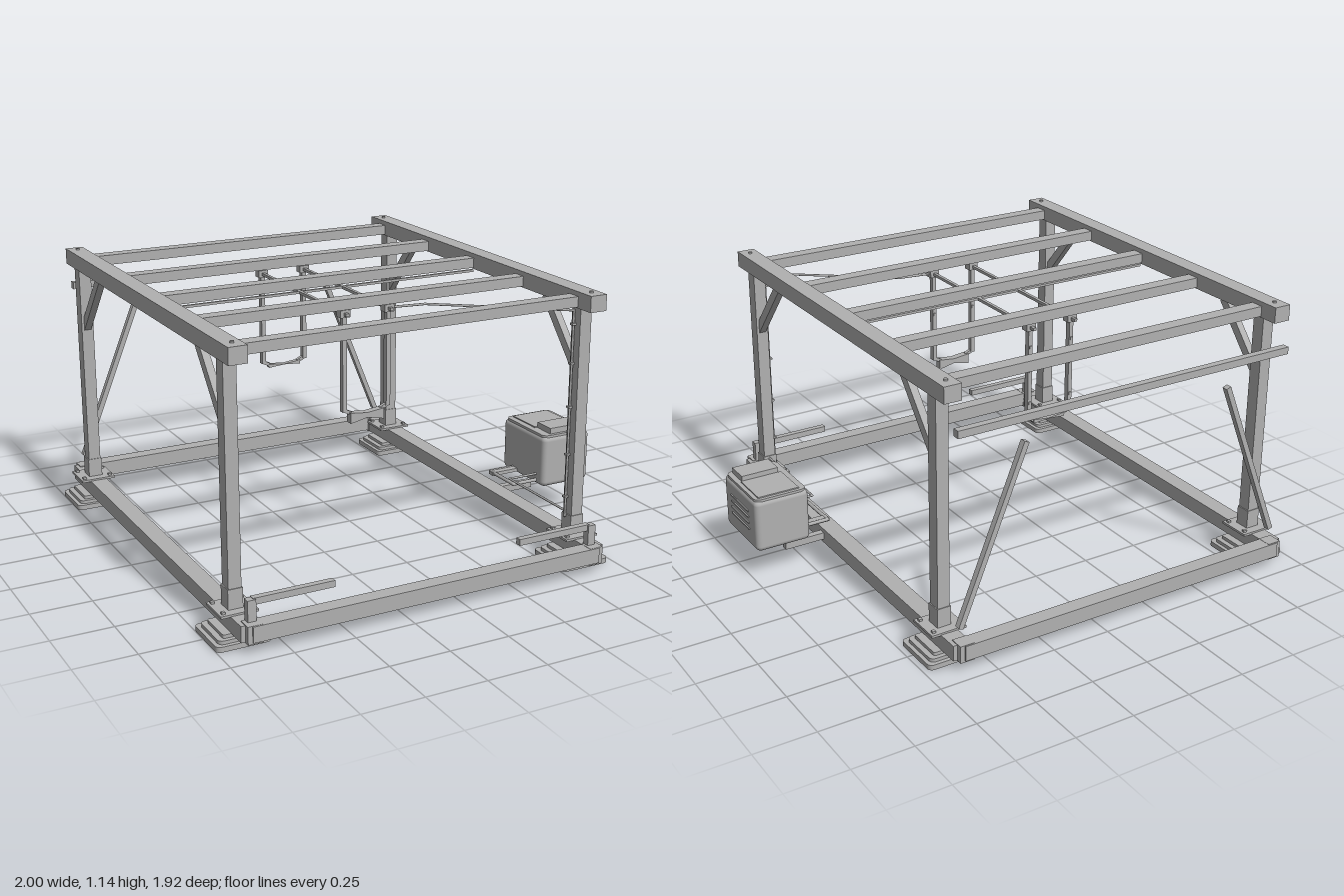
import * as THREE from 'three';
import { RoundedBoxGeometry } from 'three/addons/geometries/RoundedBoxGeometry.js';

export function createModel() {
  const root = new THREE.Group();
  root.name = 'timberFrame';
  const grey = new THREE.MeshStandardMaterial({ color: 0xb0b0b0 });
  grey.name = 'plain grey';

  const add = (name, geometry) => {
    const mesh = new THREE.Mesh(geometry, grey);
    mesh.name = name;
    root.add(mesh);
    return mesh;
  };
  // box given by its limits on each axis
  const box = (name, x0, x1, y0, y1, z0, z1) => {
    const m = add(name, new THREE.BoxGeometry(x1 - x0, y1 - y0, z1 - z0));
    m.position.set((x0 + x1) / 2, (y0 + y1) / 2, (z0 + z1) / 2);
    return m;
  };
  // box by centre and size
  const block = (name, x, y, z, w, h, d) =>
    box(name, x - w / 2, x + w / 2, y - h / 2, y + h / 2, z - d / 2, z + d / 2);
  // square bar between two points
  const bar = (name, a, b, w, d) => {
    const p = new THREE.Vector3(...a), q = new THREE.Vector3(...b);
    const m = add(name, new THREE.BoxGeometry(w, d, p.distanceTo(q)));
    m.position.copy(p).add(q).multiplyScalar(0.5);
    m.lookAt(q);
    return m;
  };
  // round wire through straight runs
  const wire = (name, points, r) => {
    const path = new THREE.CurvePath();
    for (let i = 1; i < points.length; i++) {
      path.add(new THREE.LineCurve3(new THREE.Vector3(...points[i - 1]), new THREE.Vector3(...points[i])));
    }
    for (const c of path.curves) add(name, new THREE.TubeGeometry(c, 1, r, 8, false));
    for (const p of points) add(name + 'Joint', new THREE.SphereGeometry(r, 8, 6)).position.set(...p);
  };
  // horizontal slab with rounded corners
  const slab = (name, x, y0, y1, z, w, d, r) => {
    const s = new THREE.Shape();
    const a = w / 2 - r, b = d / 2 - r;
    s.absarc(a, b, r, 0, Math.PI / 2);
    s.absarc(-a, b, r, Math.PI / 2, Math.PI);
    s.absarc(-a, -b, r, Math.PI, Math.PI * 1.5);
    s.absarc(a, -b, r, Math.PI * 1.5, Math.PI * 2);
    const g = new THREE.ExtrudeGeometry(s, { depth: y1 - y0, bevelEnabled: false, curveSegments: 4 });
    g.rotateX(-Math.PI / 2);
    add(name, g).position.set(x, y0, z);
  };

  const sides = [-0.89, 0.617];
  for (const x of sides) {
    const inward = x < 0 ? 1 : -1;
    // long rails at the bottom and top
    block('baseRail', x, 0.085, 0, 0.074, 0.065, 1.86);
    block('topRail', x, 1.102, 0, 0.074, 0.066, 1.75);

    for (const s of [-1, 1]) {
      const z = 0.77 * s;
      // stepped foot
      slab('footPlate', x, 0.005, 0.026, z, 0.218, 0.218, 0.02);
      slab('footStep', x, 0.026, 0.04, z, 0.185, 0.185, 0.02);
      slab('footPad', x, 0.04, 0.054, z, 0.14, 0.15, 0.008);
      // post with sleeve and flange
      block('post', x, 0.6, z, 0.052, 0.96, 0.057);
      block('postSleeve', x, 0.162, z, 0.06, 0.085, 0.064);
      block('postFlange', x, 0.12, z, 0.15, 0.01, 0.14);
      for (const dx of [-0.058, 0.058]) {
        block('flangeBolt', x + dx, 0.128, z + 0.05, 0.014, 0.012, 0.014);
        block('flangeBolt', x + dx, 0.128, z - 0.05, 0.014, 0.012, 0.014);
      }
      // bolt on the top rail and knee brace below it
      const bolt = add('topBolt', new THREE.CylinderGeometry(0.008, 0.008, 0.008, 8));
      bolt.position.set(x, 1.138, 0.825 * s);
      bar('kneeBrace', [x, 0.8, 0.765 * s], [x, 1.065, 0.535 * s], 0.03, 0.038);
      // corner bracket on the base
      block('cornerBracket', x + inward * 0.01, 0.085, 0.923 * s, 0.06, 0.072, 0.06);
    }

    // short horizontal bar on an upright at the front
    block('frontUpright', x + inward * 0.012, 0.155, 0.905, 0.034, 0.1, 0.03);
    block('frontGuideBar', x + inward * 0.185, 0.195, 0.9, 0.33, 0.026, 0.026);
    // leaning brace at the back
    bar('backBrace', [x + inward * 0.005, 0.17, -0.903], [x + inward * 0.285, 0.865, -0.903], 0.026, 0.022);
  }

  // end beams of the base and the back tie bar
  for (const s of [-1, 1]) block('baseEndBeam', -0.137, 0.088, 0.927 * s, 1.51, 0.064, 0.064);
  block('backTieBar', -0.137, 0.962, -0.903, 1.52, 0.03, 0.03);

  // roof beams
  for (const z of [-0.767, -0.366, 0.011, 0.388, 0.767]) {
    block('roofBeam', -0.137, 1.096, z, 1.43, 0.042, 0.057);
  }
  block('roofConduit', -0.137, 1.056, 0.012, 1.456, 0.01, 0.012);

  // two hanger tracks and the hangers at both ends
  const hung = [-0.232, -0.037];
  const mid = (hung[0] + hung[1]) / 2;
  for (const x of hung) {
    block('hangerTrack', x, 1.055, 0.01, 0.014, 0.012, 0.83);
    for (const z of [0.388, -0.364]) {
      block('hangerClamp', x, 1.056, z, 0.042, 0.03, 0.036);
      block('hangerRod', x, 0.855, z, 0.018, 0.4, 0.024);
      for (const y of [0.97, 0.87, 0.73]) block('rodClip', x, y, z - 0.013, 0.012, 0.012, 0.006);
      bar('hangerFoot', [x, 0.66, z], [x + Math.sign(mid - x) * 0.032, 0.645, z], 0.016, 0.014);
    }
  }
  // bow shaped cradle pieces
  for (const [z, low, depth] of [[0.391, 0.606, 0.032], [-0.364, 0.634, 0.022]]) {
    const s = new THREE.Shape();
    s.moveTo(-0.074, low);
    s.lineTo(0, low + (0.65 - low) * 0.35);
    s.lineTo(0.074, low);
    s.lineTo(0.074, 0.65);
    s.lineTo(0, 0.642);
    s.lineTo(-0.074, 0.65);
    s.closePath();
    const g = new THREE.ExtrudeGeometry(s, { depth, bevelEnabled: false });
    add('hangerCradle', g).position.set(mid, 0, z - depth / 2);
  }

  // control cabinet with lid, ridge and vents
  const cabinet = add('cabinet', new RoundedBoxGeometry(0.238, 0.228, 0.315, 3, 0.022));
  cabinet.position.set(0.875, 0.258, 0.2);
  slab('cabinetCover', 0.875, 0.366, 0.377, 0.2, 0.225, 0.3, 0.025);
  box('cabinetLid', 0.802, 0.964, 0.37, 0.402, 0.237, 0.335);
  box('cabinetRidge', 0.79, 0.97, 0.372, 0.382, 0.065, 0.235);
  for (let i = 0; i < 4; i++) block('cabinetVent', 0.995, 0.225 + i * 0.027, 0.2, 0.008, 0.007, 0.17);

  // cabinet support and pipes
  box('cabinetArm', 0.62, 0.83, 0.07, 0.1, 0.135, 0.165);
  box('pipeStub', 0.63, 0.77, 0.155, 0.17, 0.125, 0.16);
  wire('pipeLoop', [[0.77, 0.165, 0.305], [0.64, 0.165, 0.305], [0.64, 0.165, 0.125], [0.77, 0.165, 0.125]], 0.008);
  wire('powerCable', [[0.62, 0.193, 0.75], [0.62, 0.193, 0.305], [0.77, 0.193, 0.305]], 0.005);

  // cable up the post and across to the hangers
  wire('riserCable', [[0.583, 0.195, 0.765], [0.583, 1.055, 0.765], [0.12, 1.055, 0.41], [-0.037, 1.055, 0.388]], 0.005);
  for (const y of [0.28, 0.46, 0.66, 0.84, 1.0]) block('cableClip', 0.583, y, 0.765, 0.022, 0.008, 0.018);

  return root;
}
